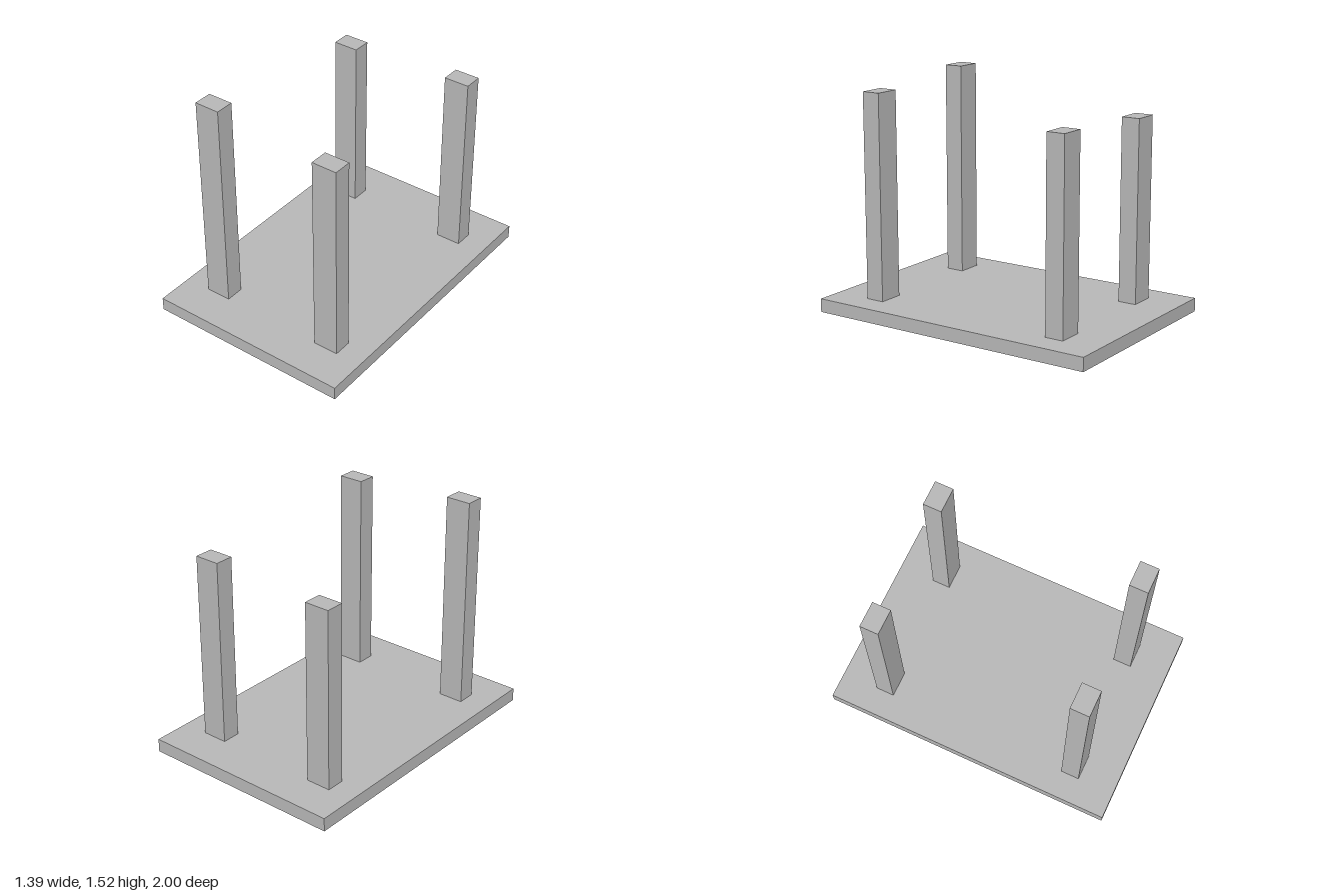
import * as THREE from 'three';

const BASE_HEIGHT = 0.09;

export function createModel() {
  const group = new THREE.Group();
  group.name = 'postedPlatform';
  const grey = new THREE.MeshStandardMaterial({ color: 0xb8b8b8 });
  grey.name = 'grey';

  function addBox(name, [w, h, d], [x, bottom, z]) {
    const mesh = new THREE.Mesh(new THREE.BoxGeometry(w, h, d), grey);
    mesh.name = name;
    mesh.position.set(x, bottom + h / 2, z);
    group.add(mesh);
  }

  // Flat base slab
  addBox('base', [1.39, BASE_HEIGHT, 2], [0, 0, 0]);

  // Four posts, each cut to its own height
  const posts = [
    ['frontRightPost', -1, 1, 1.52],
    ['frontLeftPost', 1, 1, 1.45],
    ['backLeftPost', 1, -1, 1.34],
    ['backRightPost', -1, -1, 1.3],
  ];
  for (const [name, sx, sz, top] of posts) {
    addBox(name, [0.172, top - BASE_HEIGHT, 0.125], [sx * 0.435, BASE_HEIGHT, sz * 0.688]);
  }
  return group;
}
